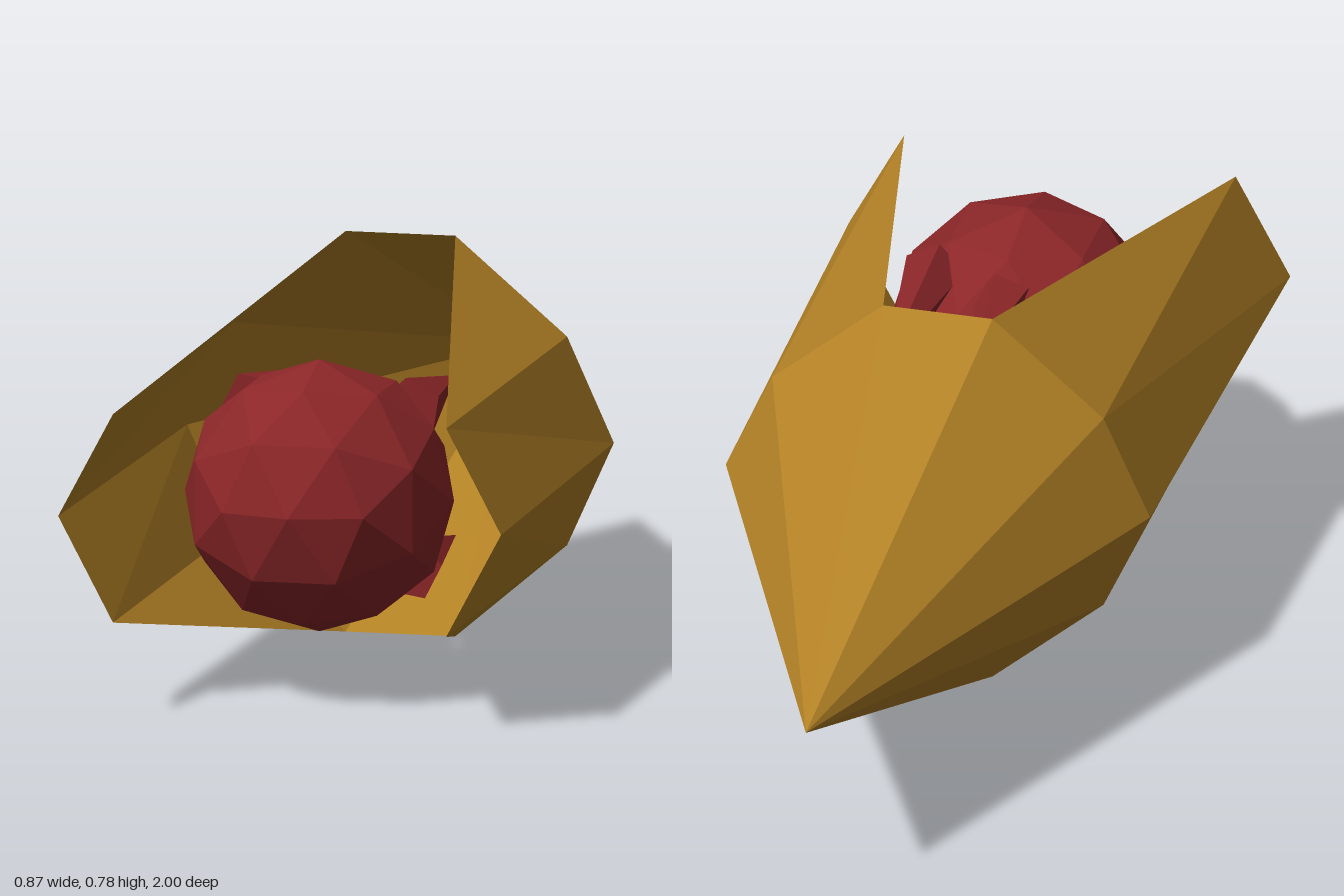
import * as THREE from 'three';

const gold = new THREE.MeshStandardMaterial({ color: 0xb58326, flatShading: true, side: THREE.DoubleSide });
gold.name = 'gold';
const crimson = new THREE.MeshStandardMaterial({ color: 0x8b2628, flatShading: true });
crimson.name = 'crimson';

function facets(name, triangles) {
  const geometry = new THREE.BufferGeometry().setFromPoints(triangles.flat());
  geometry.computeVertexNormals();
  const mesh = new THREE.Mesh(geometry, gold);
  mesh.name = name;
  return mesh;
}

export function createModel() {
  const model = new THREE.Group();
  model.name = 'podShip';
  const body = new THREE.Group();
  body.name = 'body';
  body.position.y = 0.39;
  model.add(body);

  // Half of the ten-sided middle ring, bottom to top on the left side
  const v = (x, y, z) => new THREE.Vector3(x, y, z);
  const half = [[0.108, -0.39], [0.328, -0.203], [0.42, 0], [0.328, 0.203], [0.108, 0.39]];
  const ring = [...half, ...half.map(([x, y]) => [-x, -y])].map(([x, y]) => v(x, y, 0));

  // Pointed tail cone
  const apex = v(0, 0, -1);
  body.add(facets('tailCone', ring.map((p, i) => [ring[(i + 1) % 10], p, apex])));

  // Folded side vanes reaching forward, tapering at top and bottom
  const [b0, b1, b2, b3, b4] = ring;
  const f1 = v(0.328, -0.203, 1), f2 = v(0.436, 0, 1), f3 = v(0.328, 0.203, 1);
  const vane = [
    [b0, b1, f1], [b1, b2, f2], [b1, f2, f1],
    [b2, b3, f3], [b2, f3, f2], [b3, b4, f3],
  ];
  for (const [name, turn] of [['leftVane', 0], ['rightVane', Math.PI]]) {
    const mesh = facets(name, vane);
    mesh.rotation.z = turn;
    body.add(mesh);
  }

  // Faceted core
  const core = new THREE.Mesh(new THREE.IcosahedronGeometry(0.265, 1).rotateZ(Math.PI / 2), crimson);
  core.name = 'core';
  core.position.z = 0.67;
  body.add(core);

  // Crown of spikes pointing back: long on the diagonals, short on the axes
  for (let i = 0; i < 8; i++) {
    const long = i % 2 === 1;
    const tipZ = long ? 0.195 : 0.27;
    const baseZ = long ? 0.57 : 0.5;
    const length = baseZ - tipZ;
    const geometry = new THREE.ConeGeometry(long ? 0.062 : 0.06, length, 5);
    geometry.rotateX(-Math.PI / 2).rotateZ(Math.PI);
    const spike = new THREE.Mesh(geometry, crimson);
    spike.name = long ? 'longSpike' : 'shortSpike';
    const angle = (i * Math.PI) / 4;
    const r = long ? 0.22 : 0.15;
    spike.position.set(r * Math.cos(angle), r * Math.sin(angle), (baseZ + tipZ) / 2);
    spike.rotation.z = angle;
    body.add(spike);
  }
  return model;
}
